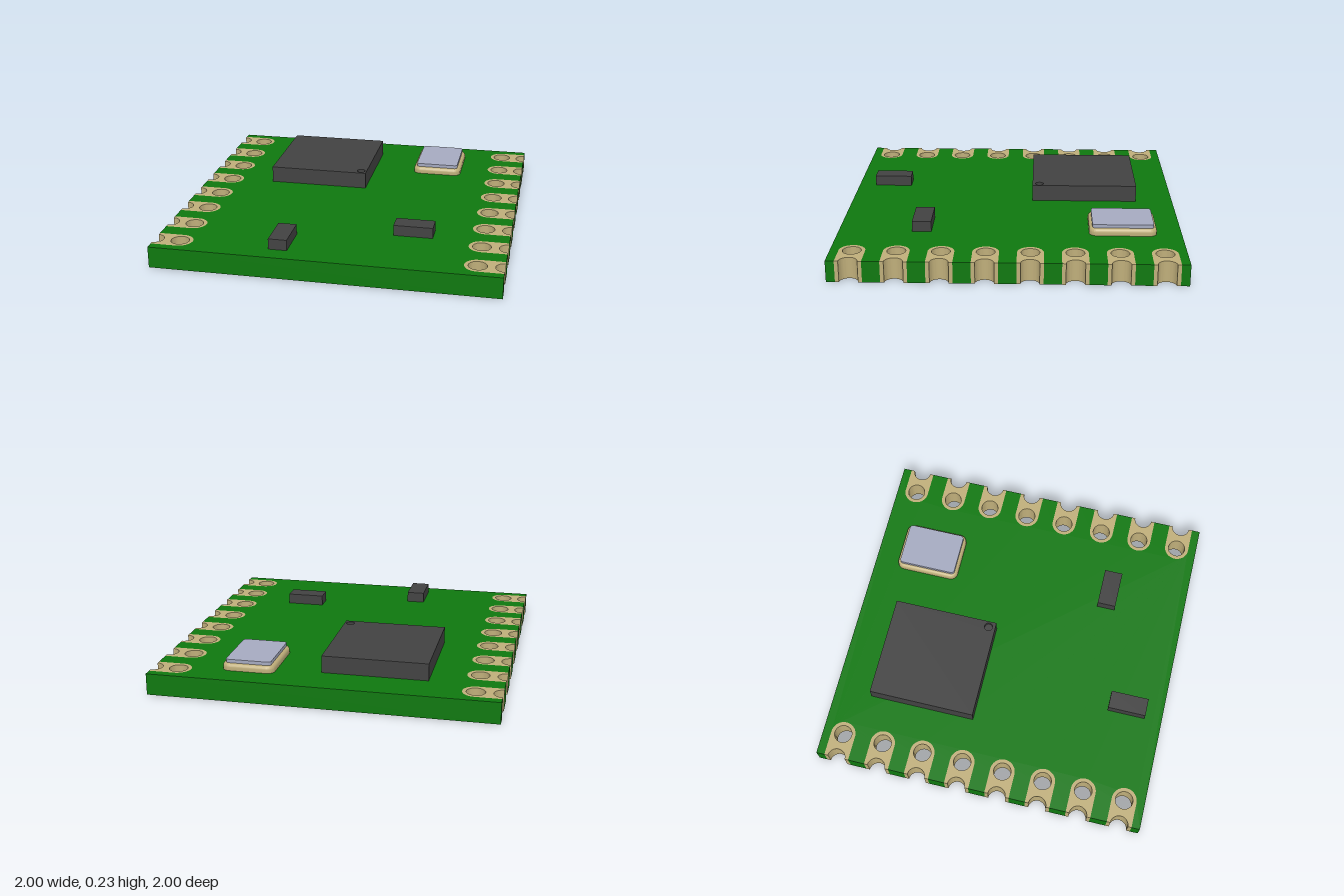
import * as THREE from 'three';
import { toCreasedNormals } from 'three/addons/utils/BufferGeometryUtils.js';

const H = 0.126; // board thickness
const PAD_X = 0.85, PAD_R = 0.075, HOLE_R = 0.053;
const PI = Math.PI;

const material = (name, color) => {
  const m = new THREE.MeshStandardMaterial({ color });
  m.name = name;
  return m;
};

// Extrude a plan-view shape (shape y points to -z) upward from height y0
function slab(shape, y0, depth, bevel = 0) {
  const g = new THREE.ExtrudeGeometry(shape, {
    depth, curveSegments: 16,
    bevelEnabled: bevel > 0, bevelThickness: bevel, bevelSize: bevel, bevelOffset: -bevel, bevelSegments: 5,
  });
  g.rotateX(-PI / 2);
  g.translate(0, y0, 0);
  return toCreasedNormals(g, 0.6);
}

function roundedRect(w, d, r) {
  const x = w / 2, y = d / 2, s = new THREE.Shape();
  s.absarc(x - r, y - r, r, 0, PI / 2);
  s.absarc(r - x, y - r, r, PI / 2, PI);
  s.absarc(r - x, r - y, r, PI, 1.5 * PI);
  s.absarc(x - r, r - y, r, 1.5 * PI, 2 * PI);
  s.closePath();
  return s;
}

const circle = (x, y, r) => new THREE.Path().absarc(x, y, r, 0, 2 * PI, true);

// Board outline with a round-ended notch for every pad
function boardShape(rows) {
  const s = new THREE.Shape();
  s.moveTo(-1, -1);
  for (const side of [1, -1]) {
    s.lineTo(side, -side);
    for (const row of rows) {
      const y = row * side, r = PAD_R * side;
      s.lineTo(side, y - r);
      s.lineTo(PAD_X * side, y - r);
      s.absarc(PAD_X * side, y, PAD_R, -side * PI / 2, side * PI / 2, true);
      s.lineTo(side, y + r);
    }
    s.lineTo(side, side);
  }
  s.closePath();
  return s;
}

// Plated pad with one full hole and a half hole on the board edge
function padShape() {
  const s = new THREE.Shape();
  s.moveTo(PAD_X, -PAD_R);
  s.lineTo(1, -PAD_R);
  s.lineTo(1, -HOLE_R);
  s.absarc(1, 0, HOLE_R, -PI / 2, PI / 2, true);
  s.lineTo(1, PAD_R);
  s.absarc(PAD_X, 0, PAD_R, PI / 2, 1.5 * PI, false);
  s.holes.push(circle(PAD_X, 0, HOLE_R));
  return s;
}

export function createModel() {
  const green = material('board green', 0x0e780e);
  const gold = material('plated gold', 0xbfae7a);
  const dark = material('package dark grey', 0x424242);
  const silver = material('lid silver', 0xa5aac0);

  const model = new THREE.Group();
  model.name = 'circuitModule';
  const add = (name, geometry, mat, x = 0, y = 0, z = 0) => {
    const mesh = new THREE.Mesh(geometry, mat);
    mesh.name = name;
    mesh.position.set(x, y, z);
    model.add(mesh);
    return mesh;
  };

  // Board and its two rows of edge pads
  const rows = Array.from({ length: 8 }, (_, i) => -0.875 + 0.25 * i);
  add('board', slab(boardShape(rows), 0, H), green);
  const padGeometry = slab(padShape(), 0, H);
  for (const z of rows) {
    add('leftPad', padGeometry, gold, 0, 0, z);
    add('rightPad', padGeometry, gold, 0, 0, z).rotation.y = PI;
  }

  // Main chip with a small round recess marking its first corner
  const chipW = 0.612, chipD = 0.645, chipH = 0.1, recess = 0.02;
  const chipX = -0.271, chipZ = -0.45, markX = 0.271, markZ = 0.28;
  const top = new THREE.Shape([[-1, -1], [1, -1], [1, 1], [-1, 1]]
    .map(([x, y]) => new THREE.Vector2(x * chipW / 2, y * chipD / 2)));
  top.holes.push(circle(markX, -markZ, 0.025));
  add('chipBody', slab(top, H, chipH), dark, chipX, 0, chipZ);
  const floor = new THREE.CircleGeometry(0.025, 32).rotateX(-PI / 2);
  add('chipMarkFloor', floor, dark, chipX + markX, H + chipH - recess, chipZ + markZ);

  // Oscillator can: rounded gold base and silver lid
  add('oscillatorBase', slab(roundedRect(0.306, 0.392, 0.045), H + 0.022 - 0.022, 0.02, 0.022), gold, 0.449, 0, -0.658);
  add('oscillatorLid', slab(roundedRect(0.266, 0.356, 0.02), H + 0.04, 0.022), silver, 0.449, 0, -0.658);

  // Two small surface-mount parts
  for (const [name, w, d, x, z] of [
    ['smallPartLengthwise', 0.108, 0.23, -0.271, 0.778],
    ['smallPartCrosswise', 0.23, 0.112, 0.448, 0.513],
  ]) add(name, new THREE.BoxGeometry(w, 0.063, d), dark, x, H + 0.0315, z);

  return model;
}
